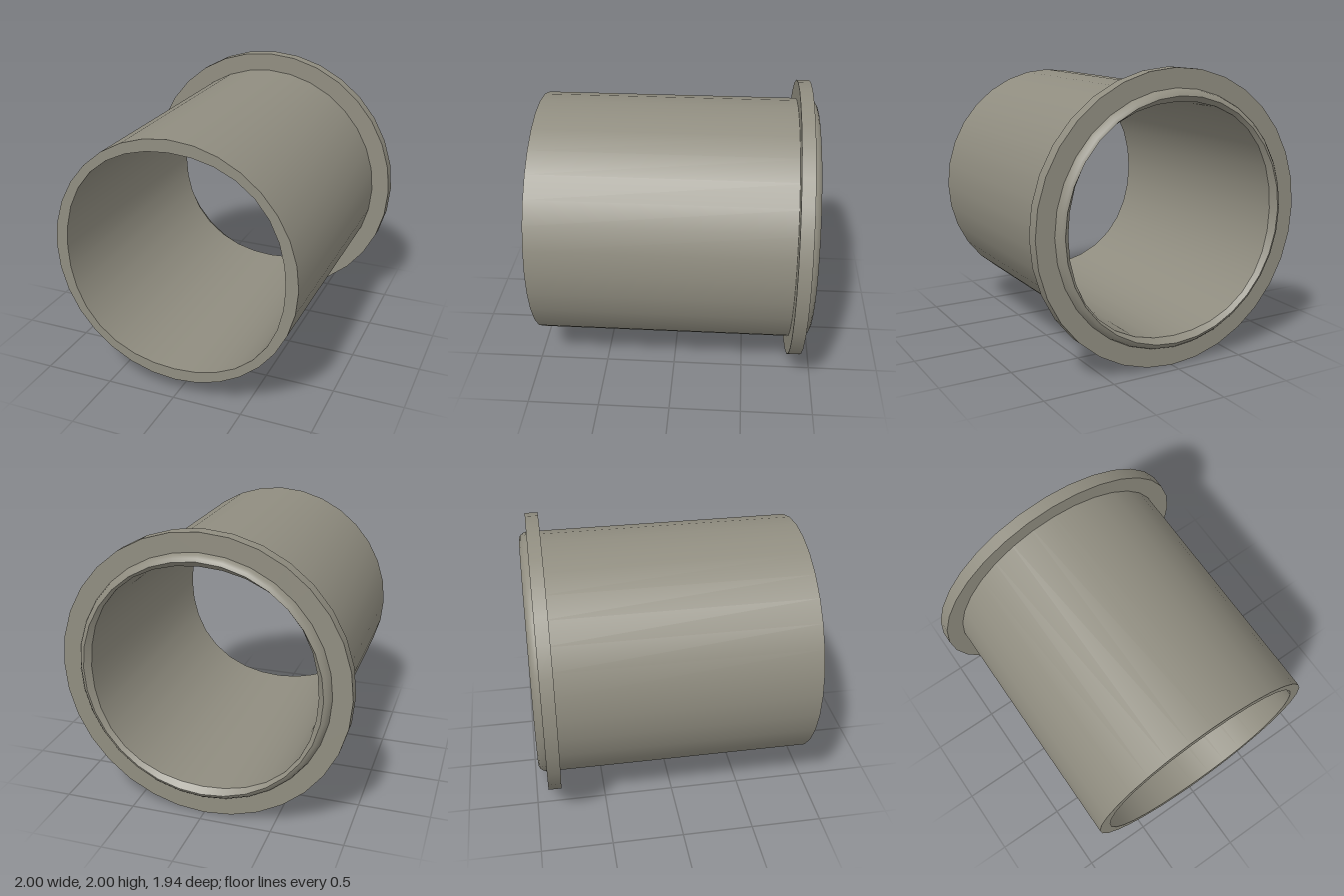
import * as THREE from 'three';

const SIDES = 32;
const BORE = 0.785;

// Revolves a [radius, z] profile about the z axis; the bore is eased slightly towards a square.
function ring(name, profile, material) {
  const points = profile.map(([r, z]) => new THREE.Vector2(r, z));
  const geometry = new THREE.LatheGeometry(points, SIDES).rotateX(Math.PI / 2);
  const pos = geometry.attributes.position;
  for (let i = 0; i < pos.count; i++) {
    const x = pos.getX(i), y = pos.getY(i);
    if (Math.hypot(x, y) > BORE + 0.001) continue;
    const k = 1 + 0.03 * Math.sin(2 * Math.atan2(y, x)) ** 2;
    pos.setXY(i, x * k, y * k);
  }
  const mesh = new THREE.Mesh(geometry, material);
  mesh.name = name;
  return mesh;
}

export function createModel() {
  const metal = new THREE.MeshStandardMaterial({ color: 0x908d80 });
  metal.name = 'warm grey metal';

  const model = new THREE.Group();
  model.name = 'flangedSleeve';

  // Each entry is one smooth band, so the edges between bands stay sharp
  const bands = [
    // Sleeve
    ['sleeveOuterWall', [[0.87, -0.92], [0.87, 0.97]]],
    ['sleeveFrontRim', [[0.87, 0.97], [BORE, 0.97]]],
    ['sleeveBore', [[BORE, 0.97], [BORE, -0.93]]],
    // Rounded lip at the back
    ['lipInnerBevel', [[BORE, -0.93], [0.825, -0.97]]],
    ['lipOuterRound', [[0.825, -0.97], [0.845, -0.96], [0.862, -0.94], [0.87, -0.915]]],
    // Flange
    ['flangeBack', [[0.865, -0.915], [1, -0.915]]],
    ['flangeEdge', [[1, -0.915], [1, -0.825]]],
    ['flangeFront', [[1, -0.825], [0.865, -0.825]]],
  ];
  for (const [name, profile] of bands) model.add(ring(name, profile, metal));

  // Rest the flange on the ground
  for (const part of model.children) part.position.y = 1;
  return model;
}
